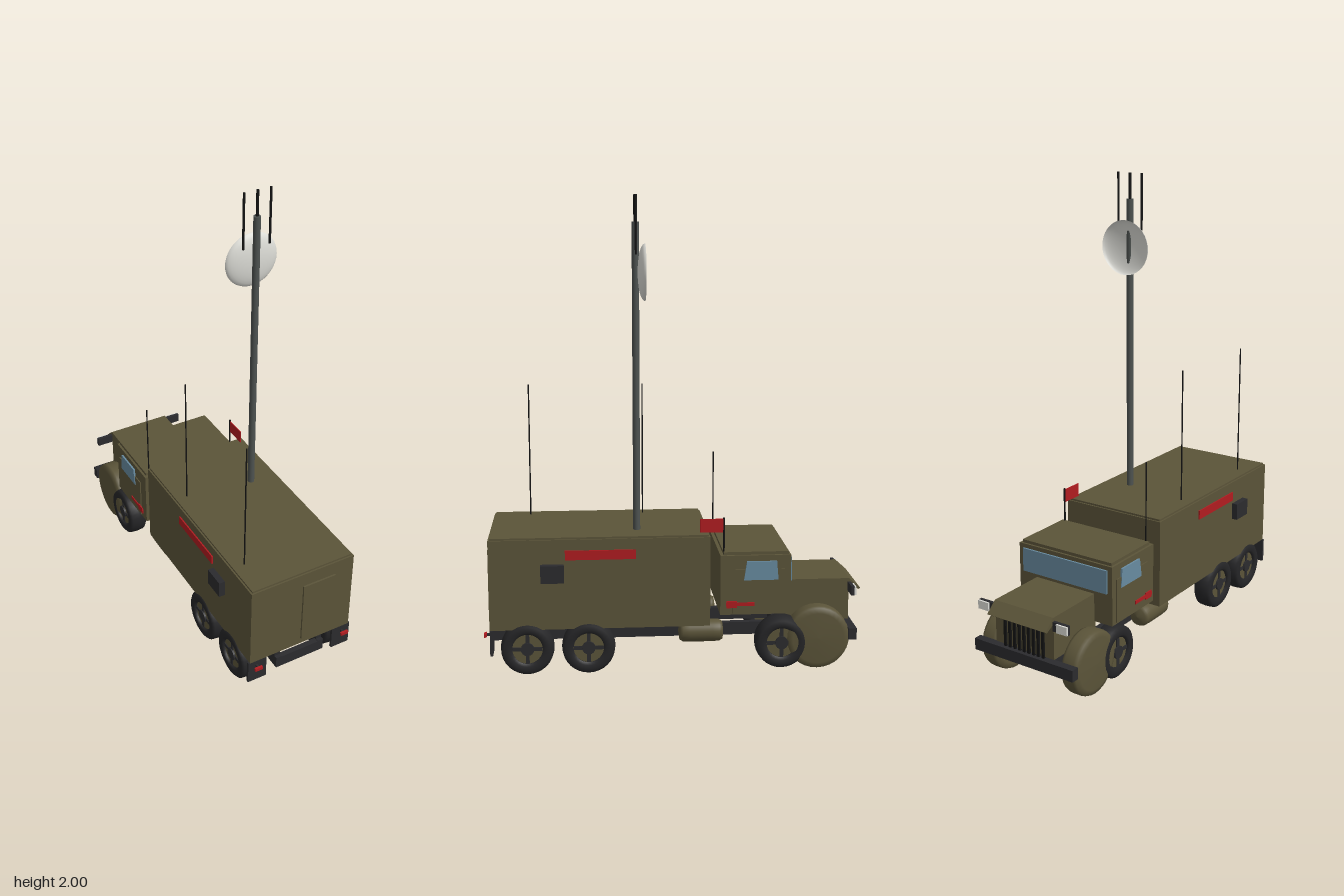
import * as THREE from 'three';

const mat = (name, color, extra = {}) => {
  const m = new THREE.MeshStandardMaterial({ color, ...extra });
  m.name = name;
  return m;
};

export function createModel() {
  const olive = mat('olive paint', 0x5b5439);
  const rubber = mat('rubber', 0x252527);
  const chassis = mat('chassis black', 0x2b2b2e);
  const red = mat('red', 0xb01c20, { side: THREE.DoubleSide });
  const glass = mat('window glass', 0x688ba0);
  const steel = mat('mast steel', 0x4d5250);
  const white = mat('dish white', 0xdcdcd6, { side: THREE.DoubleSide });
  const black = mat('antenna black', 0x141414);

  const root = new THREE.Group();
  root.name = 'radioTruck';

  const add = (name, geo, m, x = 0, y = 0, z = 0, parent = root) => {
    const mesh = new THREE.Mesh(geo, m);
    mesh.name = name;
    mesh.position.set(x, y, z);
    parent.add(mesh);
    return mesh;
  };
  // box given by its min and max on each axis
  const box = (name, m, x0, x1, y0, y1, z0, z1) =>
    add(name, new THREE.BoxGeometry(x1 - x0, y1 - y0, z1 - z0), m,
      (x0 + x1) / 2, (y0 + y1) / 2, (z0 + z1) / 2);
  // the same box on both sides of the truck
  const pair = (name, m, x0, x1, ...r) => {
    box(name + 'Left', m, x0, x1, ...r);
    box(name + 'Right', m, -x1, -x0, ...r);
  };
  const rod = (name, m, r, x, z, y0, y1, sides = 10) =>
    add(name, new THREE.CylinderGeometry(r, r, y1 - y0, sides), m, x, (y0 + y1) / 2, z);
  // soft-edged drum around y, slightly domed at both ends
  const drum = (r, w) => new THREE.LatheGeometry(
    [[0, -0.5], [0.8, -0.47], [0.96, -0.4], [1, -0.25], [1, 0.25], [0.96, 0.4], [0.8, 0.47], [0, 0.5]]
      .map(([a, b]) => new THREE.Vector2(a * r, b * w)), 32);
  // side profile in (z, y), extruded across x
  const profile = (pts, width) => {
    const g = new THREE.ExtrudeGeometry(
      new THREE.Shape(pts.map(([z, y]) => new THREE.Vector2(-z, y))),
      { depth: width, bevelEnabled: false });
    g.translate(0, 0, -width / 2);
    return g.rotateY(Math.PI / 2);
  };

  // shelter body
  box('shelter', olive, -0.243, 0.243, 0.206, 0.592, -0.143, 0.783);
  box('shelterRoof', olive, -0.236, 0.236, 0.592, 0.6, -0.136, 0.776);
  box('rearDoor', olive, 0, 0.155, 0.235, 0.53, 0.783, 0.791);
  pair('sideStripe', red, 0.243, 0.249, 0.506, 0.546, 0.17, 0.465);
  pair('vent', chassis, 0.243, 0.27, 0.413, 0.488, 0.47, 0.567);

  // cab
  box('cab', olive, -0.238, 0.238, 0.25, 0.508, -0.486, -0.186);
  box('cabRoof', olive, -0.228, 0.228, 0.508, 0.521, -0.477, -0.2);
  box('windscreen', glass, -0.215, 0.215, 0.388, 0.49, -0.494, -0.486);
  pair('cabDoor', olive, 0.238, 0.243, 0.257, 0.447, -0.46, -0.237);
  pair('doorMarkBar', red, 0.243, 0.247, 0.29, 0.305, -0.33, -0.21);
  pair('doorMarkEnd', red, 0.243, 0.248, 0.282, 0.312, -0.255, -0.212);
  const pane = [[-0.285, 0.402], [-0.432, 0.402], [-0.425, 0.483], [-0.298, 0.483]];
  for (const s of [-1, 1]) add('sideWindow', profile(pane, 0.008), glass, s * 0.242, 0, 0);

  // hood with overhanging lip, and grille
  add('hood', profile([[-0.48, 0.19], [-0.48, 0.372], [-0.757, 0.372], [-0.806, 0.328],
    [-0.798, 0.322], [-0.755, 0.345], [-0.755, 0.19]], 0.296), olive);
  for (let i = 0; i < 9; i++) {
    const x = -0.096 + i * 0.024;
    box('grilleBar', black, x - 0.006, x + 0.006, 0.185, 0.315, -0.763, -0.753);
  }

  // bumper and headlights
  box('frontBumper', chassis, -0.25, 0.25, 0.13, 0.18, -0.772, -0.737);
  pair('headlightHousing', chassis, 0.15, 0.225, 0.318, 0.358, -0.764, -0.75);
  pair('headlight', white, 0.172, 0.225, 0.32, 0.356, -0.772, -0.764);

  // front fenders and fuel tanks
  for (const s of [-1, 1]) {
    add('frontFender', drum(0.137, 0.088), olive, s * 0.205, 0.138, -0.607).rotation.z = Math.PI / 2;
    add('fuelTank', drum(0.048, 0.195), olive, s * 0.17, 0.162, -0.11).rotation.x = Math.PI / 2;
  }

  // chassis frame
  pair('frameRail', chassis, 0.09, 0.116, 0.12, 0.175, -0.755, 0.785);
  for (const z of [-0.7, -0.45, -0.05, 0.2, 0.37, 0.5, 0.625, 0.773])
    box('crossMember', chassis, -0.116, 0.116, 0.12, 0.172, z - 0.012, z + 0.012);
  pair('bodyMount', chassis, 0.09, 0.116, 0.175, 0.207, -0.13, 0.77);
  pair('mudFlap', chassis, 0.163, 0.25, 0.098, 0.207, 0.77, 0.782);
  pair('lampBracket', chassis, 0.205, 0.215, 0.175, 0.185, 0.78, 0.8);
  pair('tailLight', red, 0.195, 0.23, 0.173, 0.187, 0.797, 0.808);

  // wheels: tyre, painted rim, cross spokes and hub
  const tyreGeo = new THREE.LatheGeometry(
    [[0.064, -0.034], [0.075, -0.042], [0.098, -0.042], [0.11, -0.032], [0.113, 0],
      [0.11, 0.032], [0.098, 0.042], [0.075, 0.042], [0.064, 0.034], [0.064, -0.034]]
      .map(([a, b]) => new THREE.Vector2(a, b)), 32);
  const rimGeo = new THREE.CylinderGeometry(0.067, 0.067, 0.06, 24);
  const hubGeo = new THREE.CylinderGeometry(0.028, 0.028, 0.078, 16);
  const spokeGeo = new THREE.BoxGeometry(0.126, 0.068, 0.016);
  for (const z of [-0.45, 0.37, 0.627]) {
    for (const s of [-1, 1]) {
      const wheel = new THREE.Group();
      wheel.name = 'wheel';
      wheel.position.set(s * 0.207, 0.121, z);
      wheel.rotation.z = Math.PI / 2;
      add('tyre', tyreGeo, rubber, 0, 0, 0, wheel);
      add('rim', rimGeo, olive, 0, 0, 0, wheel);
      add('hub', hubGeo, chassis, 0, 0, 0, wheel);
      add('spoke', spokeGeo, chassis, 0, 0, 0, wheel);
      add('spoke', spokeGeo, chassis, 0, 0, 0, wheel).rotation.y = Math.PI / 2;
      root.add(wheel);
    }
    const axle = add('axle', new THREE.CylinderGeometry(0.014, 0.014, 0.4, 12), chassis, 0, 0.121, z);
    axle.rotation.z = Math.PI / 2;
  }

  // mast with three whips and a shallow dish bulging rearwards
  rod('mast', steel, 0.015, 0.117, 0.16, 0.595, 1.89, 16);
  rod('mastWhipCentre', black, 0.006, 0.117, 0.16, 1.88, 2);
  for (const s of [-1, 1]) rod('mastWhip', black, 0.005, 0.117 + s * 0.06, 0.16, 1.76, 2);
  const bowl = [];
  for (let i = 0; i <= 8; i++) {
    const a = (i / 8) * Math.PI / 2;
    bowl.push(new THREE.Vector2(0.118 * Math.sin(a), 0.032 * Math.cos(a)));
  }
  add('dish', new THREE.LatheGeometry(bowl, 36), white, 0.117, 1.685, 0.12).rotation.x = Math.PI / 2;

  // whip antennas and flag
  for (const z of [0.12, 0.62]) rod('roofAntenna', black, 0.003, -0.183, z, 0.595, 1.185, 8);
  rod('cabAntenna', black, 0.003, -0.211, -0.202, 0.5, 0.868, 8);
  rod('flagPole', black, 0.004, 0.215, -0.202, 0.5, 0.668, 8);
  box('flag', red, 0.213, 0.217, 0.605, 0.663, -0.2, -0.102);

  return root;
}
